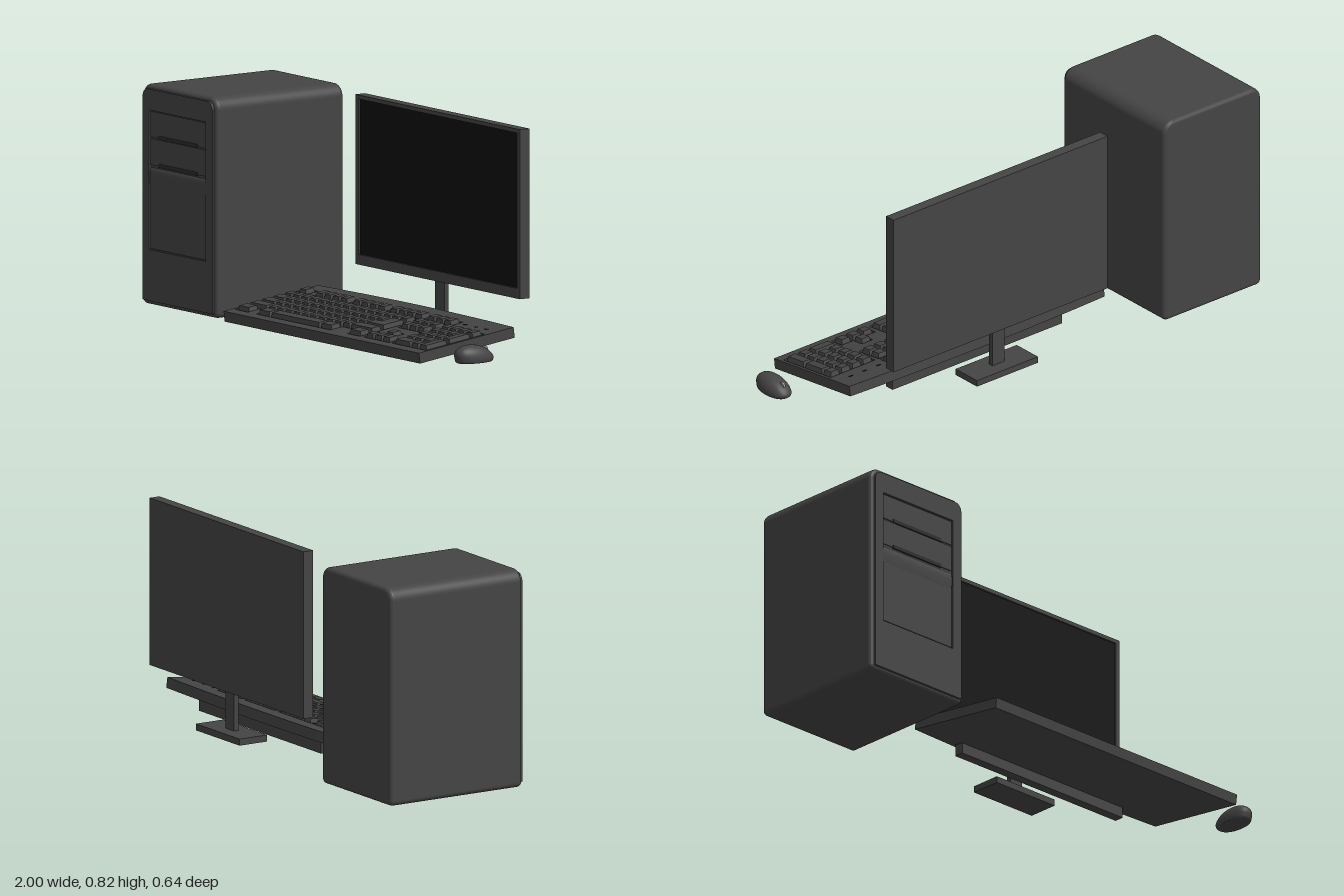
import * as THREE from 'three';
import { mergeGeometries } from 'three/addons/utils/BufferGeometryUtils.js';

const plastic = new THREE.MeshStandardMaterial({ color: 0x444444 });
const dark = new THREE.MeshStandardMaterial({ color: 0x2c2c2c });
const glass = new THREE.MeshStandardMaterial({ color: 0x0e0e0e });
const light = new THREE.MeshStandardMaterial({ color: 0x999999 });

function add(parent, name, geometry, material = plastic) {
  const mesh = new THREE.Mesh(geometry, material);
  mesh.name = name;
  parent.add(mesh);
  return mesh;
}

// Box given by its extents on each axis
function block(x0, x1, y0, y1, z0, z1) {
  return new THREE.BoxGeometry(x1 - x0, y1 - y0, z1 - z0)
    .translate((x0 + x1) / 2, (y0 + y1) / 2, (z0 + z1) / 2);
}

function rect(x0, x1, y0, y1, Type = THREE.Shape) {
  return new Type([[x0, y0], [x1, y0], [x1, y1], [x0, y1]].map(p => new THREE.Vector2(...p)));
}

function extrude(shape, depth, z = 0) {
  return new THREE.ExtrudeGeometry(shape, { depth, bevelEnabled: false, curveSegments: 12 }).translate(0, 0, z);
}

// Upright outline with round top corners and tighter bottom ones
function towerOutline(x0, x1, y0, y1, rt, rb) {
  const s = new THREE.Shape();
  s.absarc(x1 - rt, y1 - rt, rt, 0, Math.PI / 2);
  s.absarc(x0 + rt, y1 - rt, rt, Math.PI / 2, Math.PI);
  s.absarc(x0 + rb, y0 + rb, rb, Math.PI, Math.PI * 1.5);
  s.absarc(x1 - rb, y0 + rb, rb, Math.PI * 1.5, Math.PI * 2);
  return s;
}

function buildTower() {
  const g = new THREE.Group();
  g.name = 'tower';
  const b = 0.016;
  const body = new THREE.ExtrudeGeometry(towerOutline(-1 + b, -0.53 - b, b, 0.825 - b, 0.03, 0.004), {
    depth: 0.582 - 2 * b, bevelThickness: b, bevelSize: b, bevelSegments: 4, curveSegments: 8,
  }).translate(0, 0, -0.32 + b);
  add(g, 'towerBody', body);

  // Front frame around the recessed drive bays
  const frame = towerOutline(-1 + b, -0.53 - b, b, 0.825 - b, 0.03, 0.004);
  frame.holes.push(rect(-0.945, -0.588, 0.208, 0.73, THREE.Path));
  add(g, 'frontFrame', extrude(frame, 0.01, 0.261));

  // Two drive bays with finger slots
  for (const [y0, y1] of [[0.63, 0.726], [0.525, 0.624]]) {
    add(g, 'driveBay', block(-0.941, -0.592, y0, y1, 0.255, 0.266));
    add(g, 'driveSlot', block(-0.89, -0.645, y0 - 0.004, y0 + 0.01, 0.255, 0.269), dark);
  }

  // Lower door, rounded over at its top edge
  const door = new THREE.Shape();
  door.moveTo(-0.255, 0.212);
  door.lineTo(-0.255, 0.515);
  door.lineTo(-0.262, 0.515);
  door.quadraticCurveTo(-0.273, 0.505, -0.267, 0.45);
  door.lineTo(-0.267, 0.212);
  add(g, 'lowerDoor', extrude(door, 0.349).rotateY(Math.PI / 2).translate(-0.941, 0, 0));
  return g;
}

function buildMonitor() {
  const g = new THREE.Group();
  g.name = 'monitor';
  const bezel = rect(-0.31, 0.725, 0.19, 0.825);
  bezel.holes.push(rect(-0.292, 0.707, 0.228, 0.81, THREE.Path));
  add(g, 'bezel', extrude(bezel, 0.012, -0.224));
  add(g, 'monitorBack', block(-0.31, 0.725, 0.19, 0.825, -0.255, -0.224));
  add(g, 'screen', block(-0.292, 0.707, 0.228, 0.81, -0.23, -0.219), glass);
  add(g, 'standPost', block(0.177, 0.236, 0.04, 0.2, -0.241, -0.222));
  add(g, 'standBase', block(0.06, 0.355, 0.02, 0.045, -0.294, -0.172));
  return g;
}

function buildKeyboard() {
  const g = new THREE.Group();
  g.name = 'keyboard';
  const U = 0.052, ROW = 0.053, FLOOR = 0.028, TOP = 0.04;
  const MAIN = -0.39, NAV = 0.417, PAD = 0.596;
  const rowV = r => 0.282 - r * ROW;   // distance of a key row from the front edge
  const FN = 0.351;
  const lay = geo => geo.rotateX(-Math.PI / 2);

  // Case with a gently bowed back edge
  const outline = () => {
    const s = new THREE.Shape();
    s.moveTo(-0.41, 0);
    s.lineTo(0.82, 0);
    s.lineTo(0.82, 0.436);
    s.quadraticCurveTo(0.205, 0.472, -0.41, 0.436);
    return s;
  };
  add(g, 'caseBottom', lay(extrude(outline(), FLOOR)));

  // Case top with wells cut out around the key groups
  const top = outline();
  const well = (x, units, v0, v1) =>
    top.holes.push(rect(x - 0.004, x + units * U + 0.004, v0, v1, THREE.Path));
  const fnGroups = [[MAIN, 1], [MAIN + 2 * U, 4], [MAIN + 6.5 * U, 4], [MAIN + 11 * U, 4], [NAV, 3]];
  for (const [x, n] of fnGroups) well(x, n, FN - 0.029, FN + 0.029);
  well(MAIN, 15, 0.04, 0.312);
  well(NAV, 3, 0.2, 0.312);
  well(PAD, 4, 0.04, 0.312);
  const a = NAV - 0.004, c = NAV + 3 * U + 0.004;
  top.holes.push(new THREE.Path([[a, 0.04], [c, 0.04], [c, 0.1], [NAV + 2 * U, 0.1], [NAV + 2 * U, 0.152],
    [NAV + U, 0.152], [NAV + U, 0.1], [a, 0.1]].map(p => new THREE.Vector2(...p))));
  add(g, 'caseTop', lay(extrude(top, TOP - FLOOR, FLOOR)));

  // Tapered keycaps
  const keys = [];
  const key = (x, v, w = 1, h = 1) => {
    const W = w * U - 0.006, D = h * ROW - 0.006, H = 0.026;
    const geo = new THREE.BoxGeometry(W, H, D);
    const p = geo.attributes.position;
    for (let i = 0; i < p.count; i++) {
      if (p.getY(i) > 0) {
        p.setX(i, p.getX(i) * (1 - 0.012 / W));
        p.setZ(i, p.getZ(i) * (1 - 0.012 / D) - 0.001);
      }
    }
    geo.computeVertexNormals();
    keys.push(geo.translate(x + w * U / 2, FLOOR + H / 2, -v));
  };
  for (const [x, n] of fnGroups) for (let i = 0; i < n; i++) key(x + i * U, FN);

  // Main block: key widths per row, negative for a filled gap
  const ones = n => Array(n).fill(1);
  const rows = [
    ones(15),
    [1.5, ...ones(12)],
    [1.75, ...ones(11), 2.25],
    [2.25, ...ones(10), 2.75],
    [1.5, -1, 1.5, 6, 1.5, -2, 1.5],
  ];
  rows.forEach((row, r) => {
    let x = MAIN;
    for (const w of row) {
      if (w > 0) key(x, rowV(r), w);
      else add(g, 'keyGapFiller', block(x, x - w * U, FLOOR, TOP, -rowV(r) - 0.025, -rowV(r) + 0.03));
      x += Math.abs(w) * U;
    }
  });
  key(MAIN + 13.5 * U, rowV(1.5), 1.5, 2);

  // Navigation, arrow and number pad keys
  for (let i = 0; i < 3; i++) {
    key(NAV + i * U, rowV(0));
    key(NAV + i * U, rowV(1));
    key(NAV + i * U, rowV(4));
    for (let r = 0; r < 4; r++) key(PAD + i * U, rowV(r));
  }
  key(NAV + U, rowV(3));
  key(PAD, rowV(4), 2);
  key(PAD + 2 * U, rowV(4));
  key(PAD + 3 * U, rowV(0));
  key(PAD + 3 * U, rowV(1.5), 1, 2);
  key(PAD + 3 * U, rowV(3.5), 1, 2);
  add(g, 'keys', mergeGeometries(keys));

  for (const x of [0.617, 0.685, 0.75]) {
    add(g, 'indicatorLight', block(x - 0.009, x + 0.009, TOP - 0.004, TOP + 0.001, -0.366, -0.357), glass);
  }
  g.position.set(0, 0.01, 0.313);
  g.rotation.x = 0.131;
  return g;
}

function buildMouse() {
  const g = new THREE.Group();
  g.name = 'mouse';
  // Dome with a flat underside and its hump shifted to the rear
  const geo = new THREE.SphereGeometry(1, 36, 28);
  const p = geo.attributes.position;
  const soft = (v, e) => Math.sign(v) * Math.abs(v) ** e;
  for (let i = 0; i < p.count; i++) {
    const x = p.getX(i), y = p.getY(i), z = p.getZ(i);
    const h = y > 0 ? y * 0.05 : Math.max(-1, y * 2.5) * 0.015;
    p.setXYZ(i, soft(x, 0.85) * 0.046, h, soft(z, 0.92) * 0.08 + Math.max(y, 0) * 0.02);
  }
  geo.computeVertexNormals();
  add(g, 'mouseBody', geo);
  const wheel = add(g, 'scrollWheel', new THREE.CylinderGeometry(0.012, 0.012, 0.009, 20), light);
  wheel.rotation.z = Math.PI / 2;
  wheel.position.set(0, 0.029, -0.048);
  g.position.set(0.952, 0.035, 0.162);
  return g;
}

export function createModel() {
  const model = new THREE.Group();
  model.name = 'desktopComputer';
  model.add(buildTower(), buildMonitor(), buildKeyboard(), buildMouse());
  // Upright rear foot bar under the keyboard
  add(model, 'keyboardFoot', block(-0.21, 0.61, 0.02, 0.075, -0.112, -0.074));
  return model;
}
